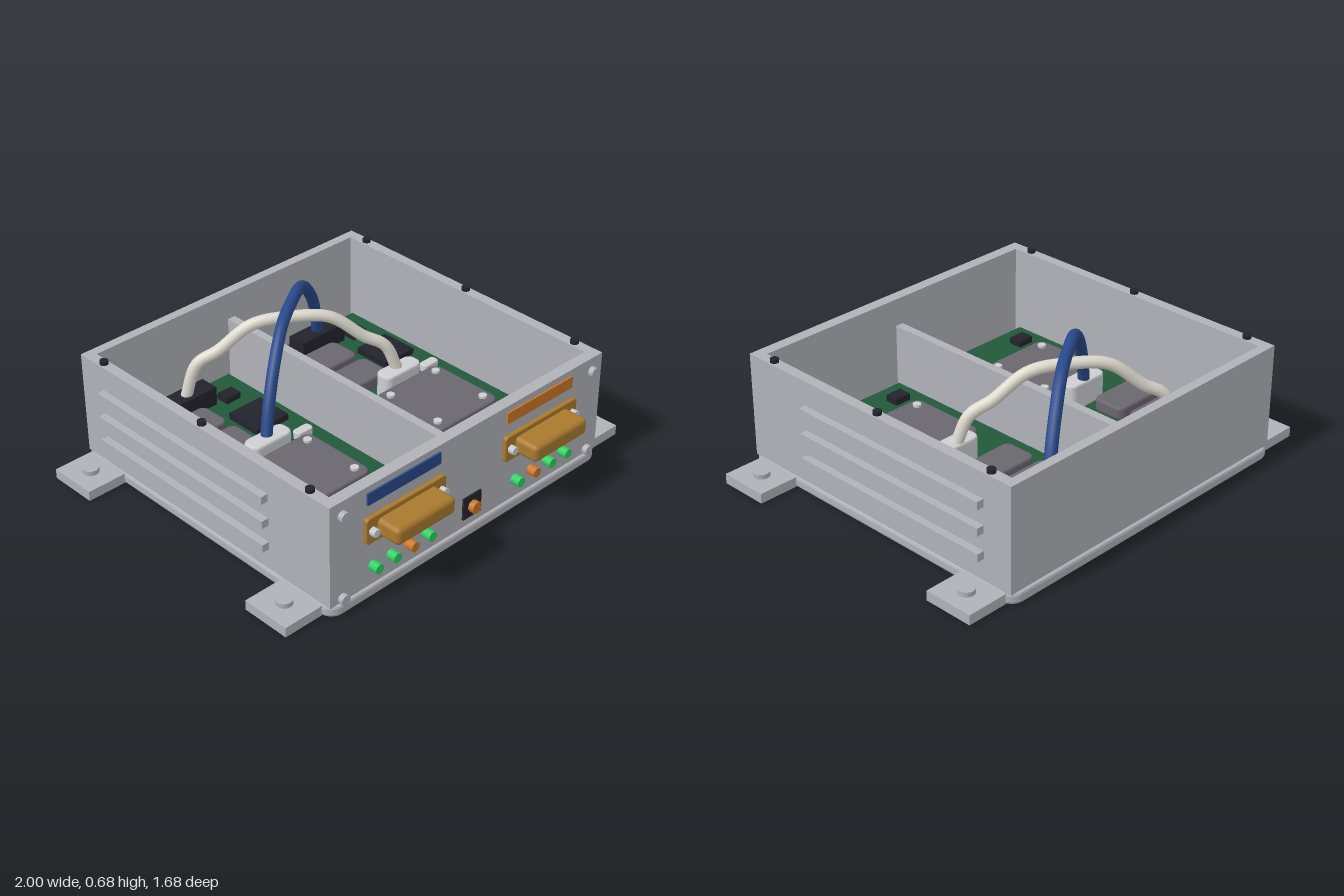
import * as THREE from 'three';
import { RoundedBoxGeometry } from 'three/addons/geometries/RoundedBoxGeometry.js';

const material = (name, color) => new THREE.MeshStandardMaterial({ name, color });

export function createModel() {
  const model = new THREE.Group();
  model.name = 'electronicsEnclosure';

  const metal = material('casingGrey', 0xb0b2b8);
  const silver = material('silver', 0xcdced2);
  const shield = material('shieldGrey', 0x6b666e);
  const board = material('boardGreen', 0x20593a);
  const dark = material('darkPlastic', 0x23232c);
  const brass = material('brass', 0xa9792e);
  const blue = material('blue', 0x28498a);
  const orange = material('orange', 0xcc7626);
  const green = material('lampGreen', 0x2fcf62);
  const cream = material('creamCable', 0xdcd8cc);

  const add = (name, geometry, mat, x, y, z, parent = model) => {
    const mesh = new THREE.Mesh(geometry, mat);
    mesh.name = name;
    mesh.position.set(x, y, z);
    parent.add(mesh);
    return mesh;
  };
  // Box given by its limits on each axis
  const box = (name, mat, x0, x1, y0, y1, z0, z1, parent) =>
    add(name, new THREE.BoxGeometry(x1 - x0, y1 - y0, z1 - z0), mat,
      (x0 + x1) / 2, (y0 + y1) / 2, (z0 + z1) / 2, parent);
  // Upright disc standing on y
  const stud = (name, mat, r, h, x, y, z, parent, sides = 20) =>
    add(name, new THREE.CylinderGeometry(r, r, h, sides), mat, x, y + h / 2, z, parent);
  // Disc pointing forward from z
  const knob = (name, mat, r, length, x, y, z, parent, sides = 20) => {
    const geometry = new THREE.CylinderGeometry(r, r, length, sides);
    geometry.rotateX(Math.PI / 2);
    return add(name, geometry, mat, x, y, z + length / 2, parent);
  };
  // Slab with rounded corners in plan and a small bevel, from z = 0 forward
  const slab = (w, h, depth, r, bevel) => {
    const a = w / 2 - bevel, b = h / 2 - bevel;
    const s = new THREE.Shape();
    s.moveTo(-a + r, -b);
    s.lineTo(a - r, -b).absarc(a - r, -b + r, r, -Math.PI / 2, 0);
    s.lineTo(a, b - r).absarc(a - r, b - r, r, 0, Math.PI / 2);
    s.lineTo(-a + r, b).absarc(-a + r, b - r, r, Math.PI / 2, Math.PI);
    s.lineTo(-a, -b + r).absarc(-a + r, -b + r, r, Math.PI, Math.PI * 1.5);
    const geometry = new THREE.ExtrudeGeometry(s, {
      depth: depth - 2 * bevel, curveSegments: 6,
      bevelEnabled: true, bevelThickness: bevel, bevelSize: bevel, bevelSegments: 2,
    });
    return geometry.translate(0, 0, bevel);
  };
  const flatSlab = (...args) => slab(...args).rotateX(-Math.PI / 2);

  // Base plate with four mounting ears
  add('basePlate', flatSlab(1.62, 1.56, 0.05, 0.05, 0.012), metal, 0, 0, -0.06);
  for (const side of [-1, 1]) {
    for (const [z, bolt] of [[-0.685, -0.685], [0.55, 0.55]]) {
      box('mountingEar', metal, Math.min(side * 0.78, side), Math.max(side * 0.78, side),
        0.002, 0.048, z - 0.117, z + 0.117);
      stud('earBolt', metal, 0.037, 0.022, side * 0.9, 0.048, bolt);
    }
  }

  // Open casing: four walls and a low divider
  const top = 0.535;
  box('frontWall', metal, -0.8, 0.8, 0.048, top, 0.65, 0.705);
  box('backWall', metal, -0.8, 0.8, 0.048, top, -0.825, -0.78);
  for (const side of [-1, 1]) {
    const wallX = side * 0.775;
    box('sideWall', metal, wallX - 0.025, wallX + 0.025, 0.048, top, -0.78, 0.65);
    for (const y of [0.168, 0.285, 0.403]) {
      box('coolingRib', metal, side * 0.815 - 0.02, side * 0.815 + 0.02, y - 0.018, y + 0.018, -0.68, 0.355);
    }
    for (const z of [-0.697, -0.063, 0.572]) stud('lidScrew', dark, 0.019, 0.017, wallX, top, z);
    for (const y of [0.07, 0.47]) knob('panelScrew', metal, 0.023, 0.024, side * 0.735, y, 0.705);
  }
  box('divider', metal, -0.02, 0.02, 0.048, 0.405, -0.78, 0.65);

  // Two identical circuit boards
  for (const x of [-0.395, 0.39]) {
    const card = new THREE.Group();
    card.name = 'circuitBoard';
    card.position.set(x, 0.15, 0);
    model.add(card);
    box('board', board, -0.333, 0.333, -0.03, 0, -0.74, 0.6, card);
    for (const px of [-0.29, 0.29]) {
      for (const pz of [-0.68, 0.54]) stud('standoff', metal, 0.025, 0.075, px, -0.102, pz, card, 12);
    }
    add('heatPlate', flatSlab(0.39, 0.39, 0.08, 0.03, 0.01), shield, 0, 0, 0.135, card);
    for (const sx of [-0.143, 0.143]) {
      for (const sz of [-0.143, 0.143]) stud('plateScrew', silver, 0.019, 0.012, sx, 0.08, 0.135 + sz, card, 10);
    }
    add('shieldCan', flatSlab(0.25, 0.165, 0.06, 0.025, 0.01), shield, -0.1, 0, -0.467, card);
    add('shieldCan', flatSlab(0.25, 0.165, 0.06, 0.025, 0.01), shield, -0.1, 0, -0.27, card);
    box('processor', dark, 0.093, 0.275, 0, 0.03, -0.46, -0.275, card);
    box('smallChip', dark, 0.16, 0.24, 0, 0.03, -0.617, -0.552, card);
    box('smallChip', dark, -0.26, -0.178, 0, 0.03, 0.45, 0.515, card);
    box('rearHeader', dark, -0.13, 0.13, 0, 0.09, -0.68, -0.585, card);
    add('cablePlug', flatSlab(0.22, 0.09, 0.125, 0.025, 0.01), silver, 0.005, 0, -0.105, card);
    add('smallSocket', flatSlab(0.09, 0.047, 0.04, 0.012, 0.005), silver, 0.233, 0, -0.135, card);
  }

  // Two cables crossing above the divider
  const cable = (name, mat, x0, z0, x1, z1, foot0, foot1, peak) => {
    const profile = [[0, foot0], [0.06, 0.39], [0.16, peak - 0.135], [0.32, peak - 0.02], [0.5, peak],
      [0.68, peak - 0.02], [0.84, peak - 0.135], [0.94, 0.39], [1, foot1]];
    const points = profile.map(([t, y]) =>
      new THREE.Vector3(x0 + (x1 - x0) * t, y, z0 + (z1 - z0) * t));
    const path = new THREE.CatmullRomCurve3(points);
    add(name, new THREE.TubeGeometry(path, 64, 0.027, 12), mat, 0, 0, 0);
  };
  cable('blueCable', blue, -0.39, -0.115, 0.4, -0.64, 0.26, 0.22, 0.653);
  cable('creamCable', cream, -0.4, -0.635, 0.395, -0.115, 0.22, 0.26, 0.583);

  // Front panel: label, connector and lamps for each channel
  const channels = [
    { x: -0.4, label: blue, lamps: [green, green, orange, green], first: -0.57 },
    { x: 0.4, label: orange, lamps: [green, orange, green, green], first: 0.265 },
  ];
  for (const { x, label, lamps, first } of channels) {
    box('channelLabel', label, x - 0.203, x + 0.203, 0.45, 0.505, 0.704, 0.713);
    const port = new THREE.Group();
    port.name = 'connector';
    port.position.set(x, 0.335, 0.705);
    model.add(port);
    add('connectorFlange', slab(0.445, 0.122, 0.022, 0.012, 0.004), brass, 0, 0, 0, port);
    add('connectorShell', new RoundedBoxGeometry(0.328, 0.08, 0.135, 3, 0.022), brass, 0, 0, 0.0675, port);
    for (const sx of [-0.193, 0.193]) knob('jackScrew', silver, 0.02, 0.03, sx, 0, 0.02, port, 6);
    lamps.forEach((mat, i) => knob('statusLamp', mat, 0.023, 0.045, first + i * 0.1, 0.145, 0.704, model, 12));
  }

  // Central power socket
  box('powerSocket', dark, -0.053, 0.053, 0.093, 0.198, 0.704, 0.714);
  knob('powerPin', orange, 0.028, 0.028, 0, 0.145, 0.713, model, 8);

  return model;
}
